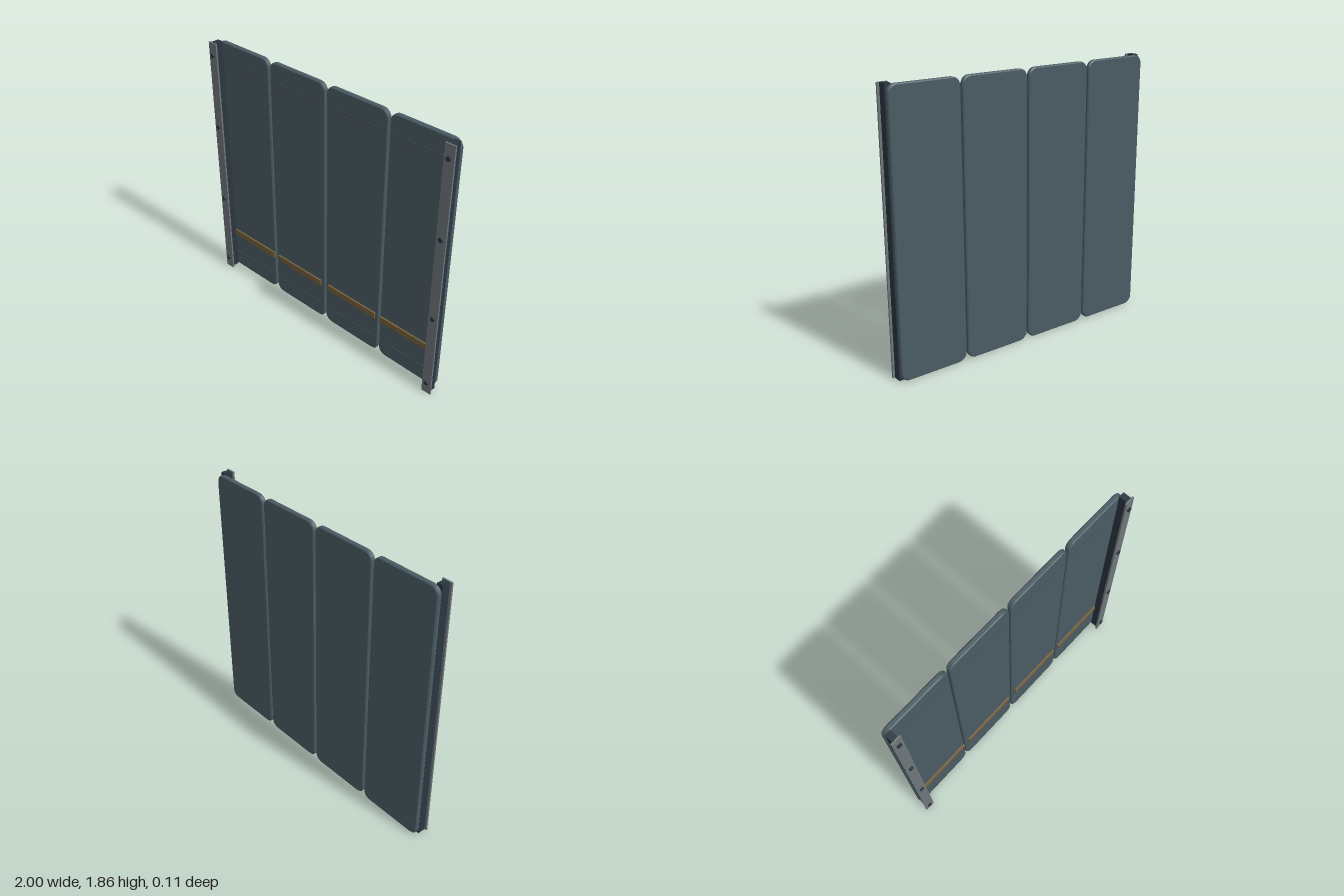
import * as THREE from 'three';

const mat = (name, color) => {
  const m = new THREE.MeshStandardMaterial({ color });
  m.name = name;
  return m;
};

export function createModel() {
  const slate = mat('slate panel', 0x4a5c64);
  const steel = mat('grey steel', 0x6f777b);
  const dark = mat('dark metal', 0x2a363f);
  const bronze = mat('bronze trim', 0x75603c);
  const groove = mat('seam line', 0x3f4c53);

  const model = new THREE.Group();
  model.name = 'panelScreen';
  const add = (name, geometry, material, x, y, z, parent = model) => {
    const mesh = new THREE.Mesh(geometry, material);
    mesh.name = name;
    mesh.position.set(x, y, z);
    parent.add(mesh);
    return mesh;
  };

  const H = 1.86, W = 0.484, PITCH = 0.4965;
  const BEVEL = 0.007, BACK = -0.057, FRONT = -0.022;

  // Rounded panel outline, inset by the bevel
  const w = W / 2 - BEVEL, h = H / 2 - BEVEL - 0.002, r = 0.05;
  const outline = new THREE.Shape();
  outline.absarc(w - r, h - r, r, 0, Math.PI / 2);
  outline.absarc(-w + r, h - r, r, Math.PI / 2, Math.PI);
  outline.absarc(-w + r, -h + r, r, Math.PI, Math.PI * 1.5);
  outline.absarc(w - r, -h + r, r, Math.PI * 1.5, Math.PI * 2);
  outline.closePath();
  const panelGeo = new THREE.ExtrudeGeometry(outline, {
    depth: FRONT - BACK - 2 * BEVEL, curveSegments: 3,
    bevelEnabled: true, bevelSize: BEVEL, bevelThickness: BEVEL, bevelSegments: 1,
  });

  // Four panels, each with two seam lines and a trim strip
  const seamGeo = new THREE.BoxGeometry(0.42, 0.006, 0.006);
  const stripGeo = new THREE.BoxGeometry(0.425, 0.045, 0.014);
  const stripX = [-0.722, -0.25, 0.2475, 0.72];
  for (let i = 0; i < 4; i++) {
    const x = (i - 1.5) * PITCH - 0.0025;
    add('panel', panelGeo, slate, x, H / 2, BACK + BEVEL);
    for (const y of [0.125, 1.725]) add('seam', seamGeo, groove, x, y, FRONT + 0.002);
    add('trimStrip', stripGeo, bronze, stripX[i], 0.314, FRONT + 0.006);
  }

  // Side rails: web, front flange and bolts
  const webGeo = new THREE.BoxGeometry(0.04, H, 0.058);
  const flangeGeo = new THREE.BoxGeometry(0.07, H, 0.012);
  const boltGeo = new THREE.CylinderGeometry(0.016, 0.016, 0.013, 10).rotateX(Math.PI / 2);
  for (const side of [-1, 1]) {
    const rail = new THREE.Group();
    rail.name = side > 0 ? 'leftRail' : 'rightRail';
    rail.position.x = side * 0.965;
    model.add(rail);
    add('railWeb', webGeo, dark, 0, H / 2, 0.007, rail);
    add('railFlange', flangeGeo, steel, 0, H / 2, 0.04, rail);
    for (const y of [0.087, 0.637, 1.237, 1.772]) add('bolt', boltGeo, dark, 0, y, 0.0505, rail);
  }
  return model;
}
